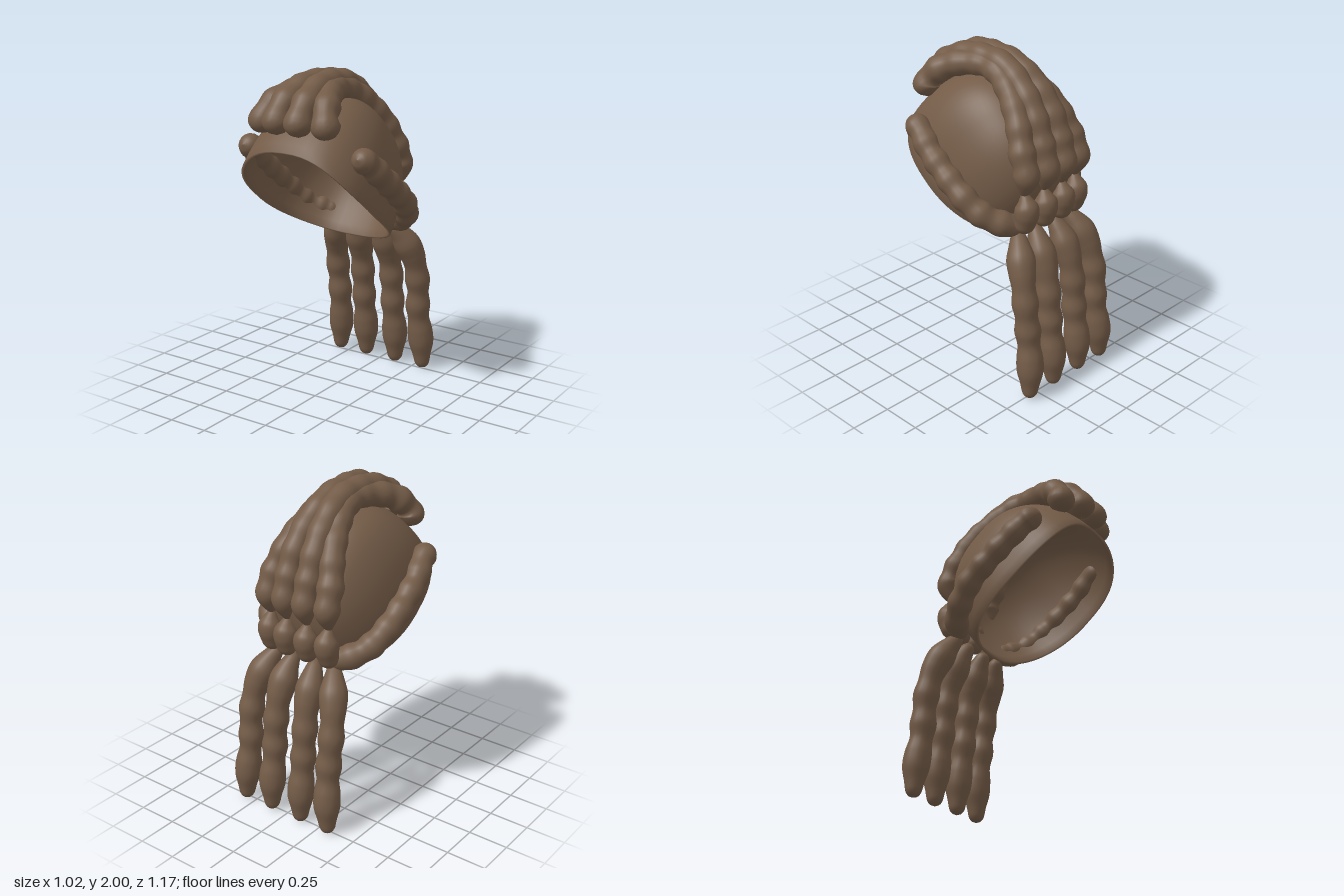
import * as THREE from 'three';
import { mergeVertices } from 'three/addons/utils/BufferGeometryUtils.js';

const V = (p) => new THREE.Vector3(...p);
const signedPow = (v, e) => Math.sign(v) * Math.abs(v) ** e;

// Beaded lock: a tube whose radius follows evenly spaced keys, with rounded ends
function lockGeometry(points, radii, segments = 100, sides = 18) {
  const curve = new THREE.CatmullRomCurve3(points.map(V), false, 'centripetal');
  const length = curve.getLength();
  const profile = new THREE.SplineCurve(radii.map((r, i) => new THREE.Vector2(i, r)));
  const tube = new THREE.TubeGeometry(curve, segments, 1, sides);
  const pos = tube.attributes.position;
  const v = new THREE.Vector3();
  for (let i = 0; i <= segments; i++) {
    const u = i / segments;
    const c = curve.getPointAt(u);
    let r = profile.getPoint(u).y;
    const d = Math.min(u, 1 - u) * length;
    if (d < r) r *= Math.sqrt(Math.max(0.0004, 1 - (1 - d / r) ** 2));
    for (let j = 0; j <= sides; j++) {
      const k = i * (sides + 1) + j;
      v.fromBufferAttribute(pos, k).sub(c).multiplyScalar(r).add(c);
      pos.setXYZ(k, v.x, v.y, v.z);
    }
  }
  return smooth(tube);
}

// Weld the seams and smooth the normals
function smooth(geometry) {
  geometry.deleteAttribute('uv');
  geometry.deleteAttribute('normal');
  const g = mergeVertices(geometry, 1e-5);
  g.computeVertexNormals();
  return g;
}

// Alternating thick and thin radius keys
function beads(count, thick, thin) {
  const keys = [];
  for (let i = 0; i < count; i++) keys.push(thick, thin);
  keys.pop();
  return keys;
}

// Tilted dome with a thin wall and an open rim: square at the brow, round at the nape
function capGeometry() {
  const rows = 24, cols = 56, wall = 0.965;
  const along = V([0, 0.655, 0.755]), up = V([0, 0.755, -0.655]), centre = V([0, 1.25, 0.18]);
  const pos = [], idx = [];
  for (let i = 0; i <= 2 * rows + 1; i++) {
    const inner = i > rows;
    const t = (inner ? 2 * rows + 1 - i : i) / rows * Math.PI / 2;
    const s = inner ? wall : 1;
    const r = Math.sin(t) ** 0.85, h = Math.max(0, Math.cos(t)) ** 0.85;
    for (let j = 0; j <= cols; j++) {
      const a = (j / cols) * Math.PI * 2, c = Math.cos(a), n = Math.sin(a);
      const x = 0.42 * s * r * signedPow(c, 0.8);
      const sag = 0.075 * r ** 4 * c * c * (1 + 0.6 * n);
      const p = centre.clone()
        .addScaledVector(along, 0.5 * s * r * signedPow(n, n > 0 ? 0.75 : 0.9))
        .addScaledVector(up, 0.61 * s * h - sag);
      pos.push(x, p.y, p.z);
    }
  }
  const w = cols + 1;
  for (let i = 0; i < 2 * rows + 1; i++) {
    for (let j = 0; j < cols; j++) {
      const a = i * w + j, b = a + w;
      idx.push(a, b, a + 1, b, b + 1, a + 1);
    }
  }
  const g = new THREE.BufferGeometry();
  g.setAttribute('position', new THREE.Float32BufferAttribute(pos, 3));
  g.setIndex(idx);
  return smooth(g);
}

export function createModel() {
  const model = new THREE.Group();
  model.name = 'braidedHair';
  const hair = new THREE.MeshStandardMaterial({ color: 0x735b47, side: THREE.DoubleSide });
  hair.name = 'brown hair';

  const cap = new THREE.Mesh(capGeometry(), hair);
  cap.name = 'cap';
  model.add(cap);

  // Add a lock and its mirror image
  function addPair(name, points, radii) {
    for (const side of [1, -1]) {
      const mesh = new THREE.Mesh(
        lockGeometry(points.map(([x, y, z]) => [x * side, y, z]), radii), hair);
      mesh.name = (side > 0 ? 'left' : 'right') + name;
      model.add(mesh);
    }
  }

  // Crown braids, running from the forehead over the top to the nape
  const crown = [0.075, 0.087, 0.07, 0.084, ...beads(6, 0.072, 0.079), 0.079, 0.07, 0.082,
    0.07, 0.078, 0.05, 0.016];
  addPair('InnerCrownBraid', [
    [0.075, 1.66, 0.5], [0.075, 1.76, 0.495], [0.07, 1.84, 0.42], [0.055, 1.91, 0.28],
    [0.04, 1.922, 0.1], [0.04, 1.9, -0.04], [0.055, 1.8, -0.19], [0.068, 1.66, -0.3],
    [0.073, 1.5, -0.365], [0.073, 1.38, -0.4], [0.073, 1.24, -0.37]], crown);
  addPair('OuterCrownBraid', [
    [0.225, 1.65, 0.43], [0.215, 1.74, 0.44], [0.18, 1.82, 0.38], [0.13, 1.87, 0.28],
    [0.07, 1.89, 0.12], [0.07, 1.87, 0], [0.105, 1.79, -0.13], [0.16, 1.66, -0.25],
    [0.205, 1.5, -0.33], [0.215, 1.38, -0.375], [0.21, 1.24, -0.35]], crown);

  // Knots below the pinch at the nape
  const knot = [0.016, 0.04, 0.068, 0.073, 0.066, 0.06, 0.05];
  addPair('InnerKnot', [[0.073, 1.27, -0.37], [0.075, 1.16, -0.395], [0.075, 1.02, -0.37]], knot);
  addPair('OuterKnot', [[0.21, 1.27, -0.35], [0.21, 1.16, -0.375], [0.21, 1.01, -0.34]], knot);

  // Hanging locks
  const tail = [0.035, 0.06, 0.085, 0.08, 0.07, 0.08, 0.068, 0.08, 0.068, 0.08, 0.08,
    0.058, 0.043];
  addPair('InnerHangingLock', [[0.075, 1.01, -0.3], [0.095, 0.9, -0.37], [0.105, 0.76, -0.43],
    [0.11, 0.6, -0.46], [0.11, 0.4, -0.48], [0.112, 0.2, -0.507], [0.112, 0, -0.515]], tail);
  addPair('OuterHangingLock', [[0.2, 1.01, -0.29], [0.25, 0.91, -0.36], [0.29, 0.78, -0.42],
    [0.305, 0.6, -0.46], [0.3, 0.4, -0.48], [0.31, 0.2, -0.507], [0.32, 0, -0.515]], tail);

  // Side braids, from the temples round to the nape
  addPair('SideBraid', [[0.4, 1.555, 0.405], [0.4, 1.53, 0.32], [0.425, 1.43, 0.2],
    [0.432, 1.33, 0.07], [0.425, 1.23, -0.06], [0.37, 1.12, -0.18], [0.28, 1.06, -0.26],
    [0.18, 1.03, -0.3]], [0.06, 0.075, 0.07, ...beads(7, 0.08, 0.069)]);

  return model;
}
